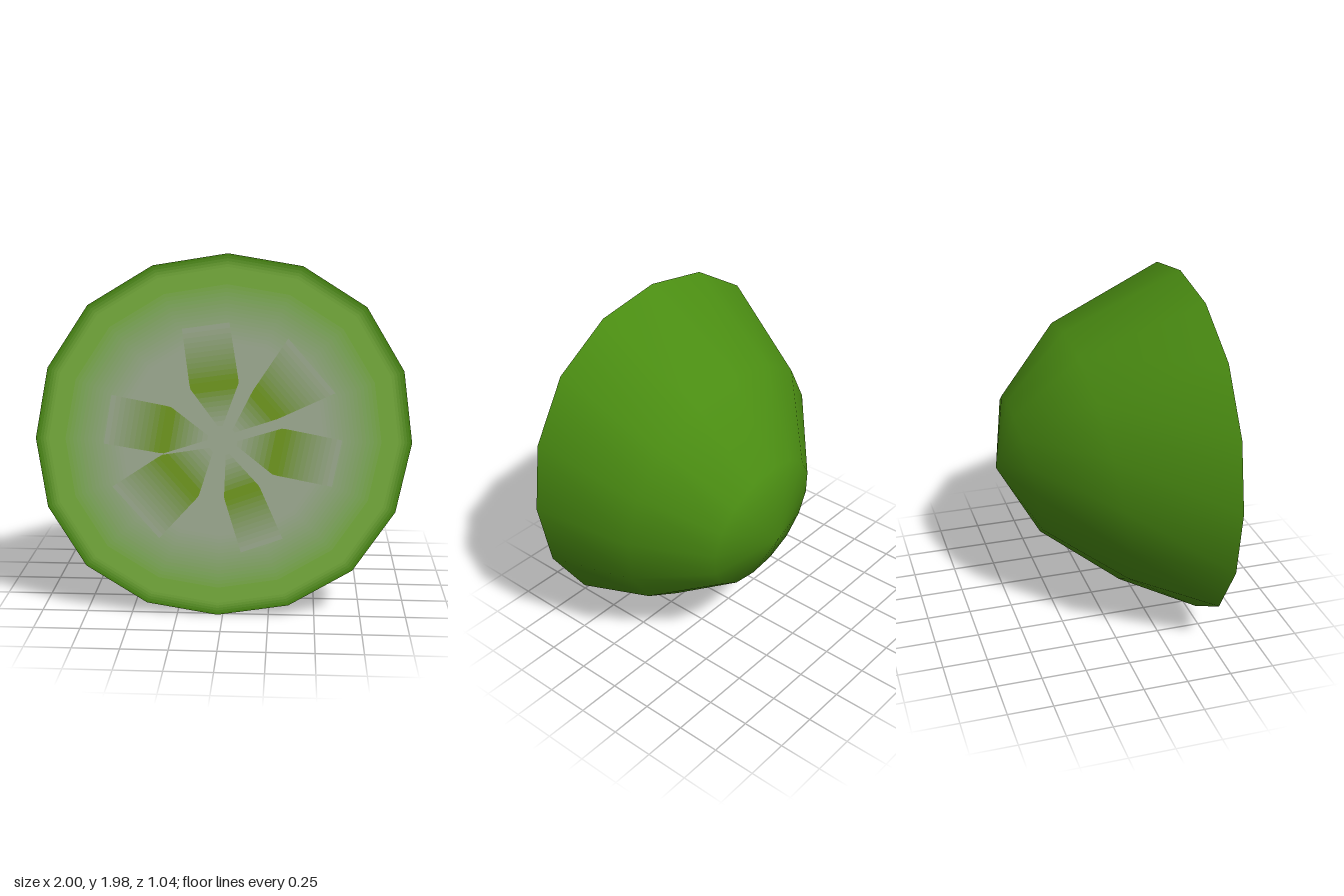
import * as THREE from 'three';
import { mergeVertices, mergeGeometries } from 'three/addons/utils/BufferGeometryUtils.js';

const SIDES = 16, FRONT = 0.52, CY = 0.993;
const SKIN = new THREE.Color(0x4a8c12), RIND = new THREE.Color(0x7cb540);
const PALE = new THREE.Color(0xa6b499), SEED = new THREE.Color(0x76a022);

// joins neighbouring rows of points into a surface
function loft(rows, closed) {
  const n = rows[0].length, index = [];
  for (let j = 0; j < rows.length - 1; j++) {
    for (let i = 0; i < (closed ? n : n - 1); i++) {
      const a = j * n + i, b = j * n + (i + 1) % n, c = a + n, d = b + n;
      index.push(a, c, b, b, c, d);
    }
  }
  let g = new THREE.BufferGeometry();
  g.setAttribute('position', new THREE.Float32BufferAttribute(rows.flat(2), 3));
  g.setIndex(index);
  g = mergeVertices(g, 1e-4);
  g.computeVertexNormals();
  return g;
}

// slightly sheared, squarish outline; tilt leans the ring back at its top
function ring(cx, cy, cz, rx, ry, tilt = 0) {
  return Array.from({ length: SIDES }, (_, i) => {
    const a = i / SIDES * Math.PI * 2, k = 1 + 0.025 * Math.sin(2 * a) ** 2;
    const s = Math.sin(a) * k, c = Math.cos(a) * k;
    return [cx + rx * (c + 0.03 * s), cy + ry * s, cz - tilt * s];
  });
}

const faceRing = r => ring(0, CY, FRONT, r, r * 0.988);

function mesh(name, geometry, color) {
  const m = new THREE.Mesh(geometry, new THREE.MeshStandardMaterial({ color }));
  m.name = name;
  return m;
}

const mix = (a, b, t) => a.clone().lerp(b, THREE.MathUtils.clamp(t, 0, 1));

export function createModel() {
  const model = new THREE.Group();
  model.name = 'cutFruit';

  // domed skin, leaning down and to its left
  model.add(mesh('skin', loft([
    faceRing(1),
    ring(0.085, 0.915, -0.01, 0.755, 0.745, 0.12),
    ring(0.16, 0.855, -0.38, 0.4, 0.395, 0.07),
    ring(0.2, 0.83, -0.52, 0, 0),
  ], true), SKIN));

  // flat cut face, graded from pale core to green rind to skin
  const face = new THREE.Group();
  face.name = 'cutFace';
  const radii = [0, 0.54];
  for (let r = 0.56; r < 0.86; r += 0.02) radii.push(r);
  radii.push(0.93, 0.945, 0.96, 0.975, 0.988, 1);
  for (let i = 0; i < radii.length - 1; i++) {
    const mid = (radii[i] + radii[i + 1]) / 2;
    const color = mid > 0.93
      ? mix(RIND, SKIN, (mid - 0.93) / 0.06)
      : mix(PALE, RIND, (mid - 0.54) / 0.32);
    face.add(mesh('faceBand', loft([faceRing(radii[i]), faceRing(radii[i + 1])], true), color));
  }
  model.add(face);

  // seed pockets: angle in degrees, half width at the middle and at the end
  const pockets = [
    [98, 0.13, 0.125], [41, 0.1, 0.19], [-11, 0.13, 0.13],
    [-70, 0.1, 0.12], [221, 0.15, 0.19], [170, 0.13, 0.135],
  ];
  const START = 0.08, PEAK = 0.3, END = 0.62, BANDS = 20;
  const pocketRow = (r, [deg, wMid, wEnd]) => {
    const a = deg * Math.PI / 180;
    const w = r < PEAK
      ? wMid * (0.1 + 0.9 * (r - START) / (PEAK - START))
      : THREE.MathUtils.lerp(wMid, wEnd, (r - PEAK) / (END - PEAK));
    return [-w, w].map(v => [
      r * Math.cos(a) - v * Math.sin(a),
      CY + r * Math.sin(a) + v * Math.cos(a),
      FRONT + 0.002,
    ]);
  };
  const seeds = new THREE.Group();
  seeds.name = 'seedPockets';
  for (let i = 0; i < BANDS; i++) {
    const r0 = START + (END - START) * i / BANDS, r1 = START + (END - START) * (i + 1) / BANDS;
    const mid = (r0 + r1) / 2;
    const strength = mid < PEAK ? (mid - START) / (PEAK - START) : (END - mid) / (END - PEAK);
    const strips = pockets.map(p => loft([pocketRow(r0, p), pocketRow(r1, p)], false));
    seeds.add(mesh('seedBand', mergeGeometries(strips), mix(PALE, SEED, strength * 1.1)));
  }
  model.add(seeds);
  return model;
}
